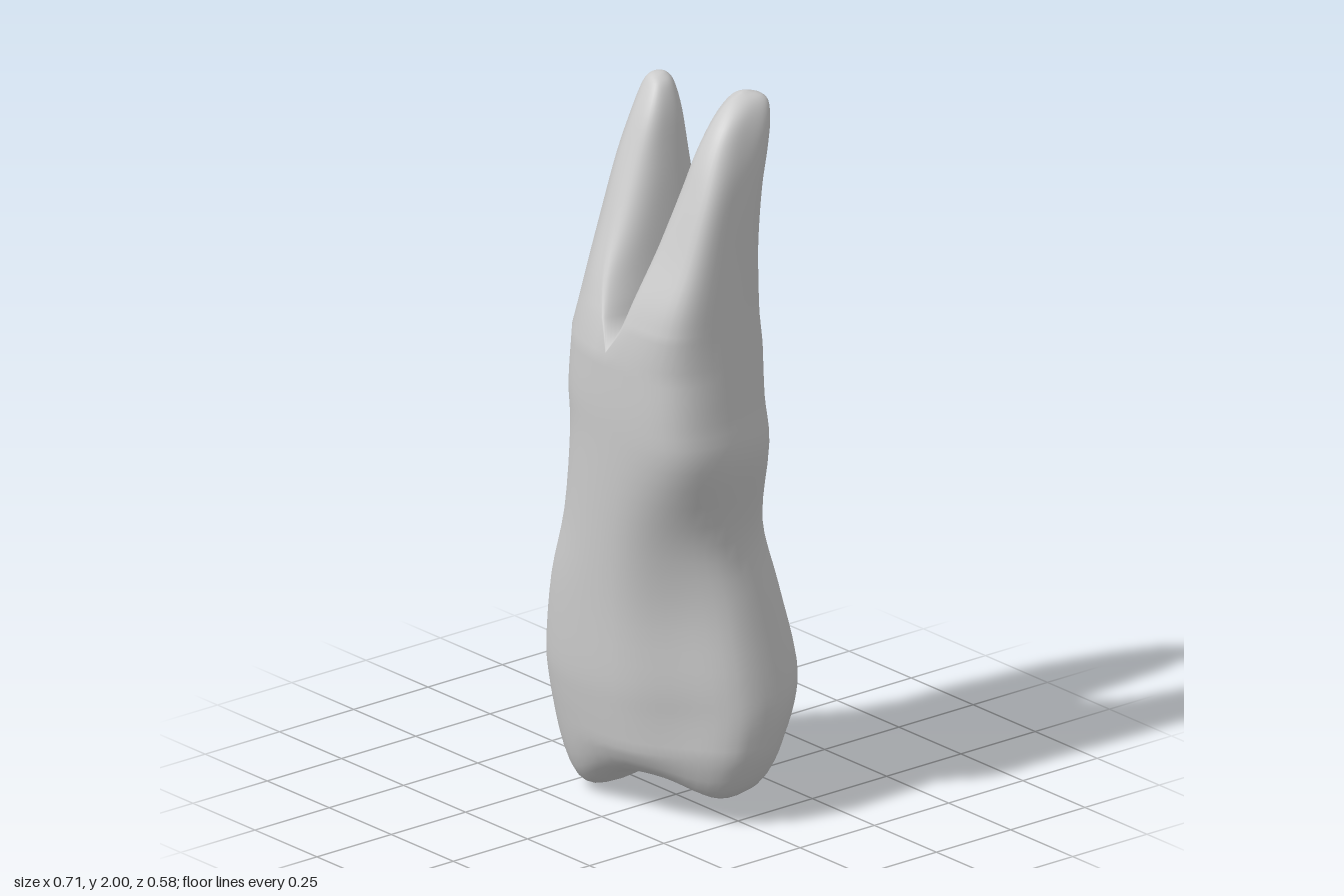
import * as THREE from 'three';
import { mergeVertices } from 'three/addons/utils/BufferGeometryUtils.js';

const N = 48; // points around each ring

// Section rows: y, xMin, xWidest, xMax, zMin, zMax,
// bulge at +x+z, bulge at -x-z, shift of the other diagonal towards -x+z, squareness
const BODY = [
  [0.20, -0.336, 0.00, 0.335, -0.232, 0.240, -0.045, 0.010, 0.015, 0.87],
  [0.30, -0.350, 0.00, 0.352, -0.272, 0.255, -0.060, 0.012, 0.018, 0.86],
  [0.40, -0.350, 0.00, 0.348, -0.287, 0.265, -0.060, 0.012, 0.020, 0.86],
  [0.60, -0.303, 0.01, 0.324, -0.245, 0.270, -0.060, 0.010, 0.025, 0.88],
  [0.80, -0.243, 0.03, 0.302, -0.180, 0.275, -0.025, 0.030, 0.015, 0.90],
  [1.03, -0.214, 0.06, 0.344, -0.170, 0.280, 0.030, 0.040, 0.015, 0.90],
  [1.16, -0.220, 0.06, 0.337, -0.153, 0.284, 0.040, 0.050, 0.012, 0.90],
  [1.31, -0.221, 0.055, 0.326, -0.136, 0.284, 0.040, 0.050, 0.000, 0.90],
];
const RIGHT_ROOT = [
  [1.39, -0.220, 0.010, 0.044, -0.124, 0.262, 0.000, 0.045, -0.012, 0.93],
  [1.48, -0.219, -0.030, 0.030, -0.112, 0.228, 0.000, 0.040, -0.018, 0.96],
  [1.60, -0.212, -0.065, 0.014, -0.095, 0.175, 0.010, 0.030, -0.018, 1],
  [1.75, -0.190, -0.090, -0.005, -0.080, 0.115, 0.010, 0.020, -0.014, 1.02],
  [1.87, -0.162, -0.095, -0.026, -0.070, 0.062, 0.015, 0.015, -0.008, 1.05],
  [1.94, -0.138, -0.095, -0.052, -0.062, 0.022, 0.010, 0.010, 0, 1.05],
  [1.965, -0.118, -0.098, -0.078, -0.045, 0.0, 0, 0, 0, 1],
  [1.97, -0.098, -0.098, -0.098, -0.025, -0.025, 0, 0, 0, 1],
];
const LEFT_ROOT = [
  [1.39, 0.074, 0.115, 0.321, -0.112, 0.276, 0.040, 0.020, 0.000, 0.91],
  [1.48, 0.086, 0.150, 0.317, -0.098, 0.250, 0.040, 0.010, 0.000, 0.93],
  [1.60, 0.105, 0.185, 0.311, -0.085, 0.200, 0.035, 0.000, 0.000, 0.95],
  [1.75, 0.125, 0.215, 0.304, -0.080, 0.147, 0.025, 0, -0.006, 0.98],
  [1.85, 0.135, 0.222, 0.293, -0.095, 0.108, 0.015, 0, -0.010, 1],
  [1.93, 0.147, 0.222, 0.273, -0.108, 0.058, 0.010, 0, -0.012, 1],
  [1.98, 0.168, 0.215, 0.247, -0.107, 0.000, 0, 0, -0.008, 1],
  [2.00, 0.208, 0.208, 0.208, -0.055, -0.055, 0, 0, 0, 1],
];

const makeRing = (fn) => Array.from({ length: N }, (_, i) => fn((2 * Math.PI * i) / N, i));
const soft = (v, n) => Math.sign(v) * Math.pow(Math.abs(v), n);

// Rounded cross-section, uneven in x, adjusted along its diagonals
function sectionRing([y, x0, xm, x1, z0, z1, p, q, r, n]) {
  return makeRing((a) => {
    const c = Math.cos(a);
    const d = Math.cos(a - Math.PI / 4), e = Math.sin(a - Math.PI / 4);
    const push = (d > 0 ? p : -q) * d ** 6 * Math.SQRT1_2;
    const shift = r * e ** 6 * Math.SQRT1_2;
    return new THREE.Vector3(
      xm + (c > 0 ? x1 - xm : xm - x0) * soft(c, n) + push - shift,
      y,
      (z0 + z1) / 2 + ((z1 - z0) / 2) * soft(Math.sin(a), n) + push + shift);
  });
}

// Smoothly interpolated rings through the section rows
function loft(rows, steps = 4) {
  const curve = new THREE.CubicInterpolant(rows.map((_, i) => i), rows.flat(), 10);
  const rings = [];
  for (let k = 0; k <= (rows.length - 1) * steps; k++) {
    rings.push(sectionRing(Array.from(curve.evaluate(k / steps))));
  }
  // Make the last ring a true point
  if (rows.at(-1)[1] === rows.at(-1)[3]) {
    const [y, x, , , z] = rows.at(-1);
    rings.at(-1).forEach((v) => v.set(x, y, z));
  }
  return rings;
}

// Biting surface: a tall cusp, a groove and a lower cusp
const biteHeight = (x, z) => 0.112
  - 0.115 * Math.exp(-(((x + 0.21) / 0.145) ** 2))
  - 0.055 * Math.exp(-(((x - 0.25) / 0.09) ** 2))
  + 0.9 * (z - 0.07) ** 2;

function biteRings(rim) {
  return [0, 0.12, 0.24, 0.36, 0.48, 0.58, 0.67, 0.75, 0.82, 0.88, 0.93, 0.97].map((s) =>
    rim.map((v) => {
      const x = v.x * s, z = v.z * s;
      const floor = biteHeight(x, z);
      return new THREE.Vector3(x, floor + (v.y - floor) * s ** 9, z);
    }));
}

// Root start: half of the neck ring closed by the arched saddle between the roots
function rootStart(neck, side) {
  const front = neck[N / 4], back = neck[(3 * N) / 4];
  return makeRing((a, i) => {
    const c = Math.cos(a), s = Math.sin(a);
    if (c * side > -1e-6) return neck[i].clone();
    const saddle = new THREE.Vector3().lerpVectors(back, front, (s + 1) / 2);
    saddle.y += 0.03 * Math.abs(c);
    return saddle;
  });
}

export function createModel() {
  const body = loft(BODY);
  const neck = body[body.length - 1];
  const parts = {
    crownAndNeck: [...biteRings(body[0]), ...body],
    rightRoot: [rootStart(neck, -1), ...loft(RIGHT_ROOT)],
    leftRoot: [rootStart(neck, 1), ...loft(LEFT_ROOT)],
  };

  // Join all rings into one skin so the normals flow across the parts
  const positions = [], index = [], ranges = {};
  for (const [name, rings] of Object.entries(parts)) {
    const base = positions.length / 3, start = index.length;
    rings.forEach((ring) => ring.forEach((v) => positions.push(v.x, v.y, v.z)));
    for (let r = 0; r < rings.length - 1; r++) {
      for (let i = 0; i < N; i++) {
        const j = (i + 1) % N;
        const a = base + r * N + i, b = base + r * N + j;
        index.push(a, a + N, b, b, a + N, b + N);
      }
    }
    ranges[name] = [start, index.length];
  }
  let skin = new THREE.BufferGeometry();
  skin.setAttribute('position', new THREE.Float32BufferAttribute(positions, 3));
  skin.setIndex(index);
  skin = mergeVertices(skin, 1e-5);
  skin.computeVertexNormals();

  // One mesh per part, sharing the skin's vertices
  const group = new THREE.Group();
  group.name = 'tooth';
  const material = new THREE.MeshStandardMaterial({ color: 0xcccccc });
  for (const [name, [start, end]] of Object.entries(ranges)) {
    const geometry = new THREE.BufferGeometry();
    geometry.setAttribute('position', skin.getAttribute('position'));
    geometry.setAttribute('normal', skin.getAttribute('normal'));
    geometry.setIndex(Array.from(skin.index.array.slice(start, end)));
    const mesh = new THREE.Mesh(geometry, material);
    mesh.name = name;
    group.add(mesh);
  }
  return group;
}
